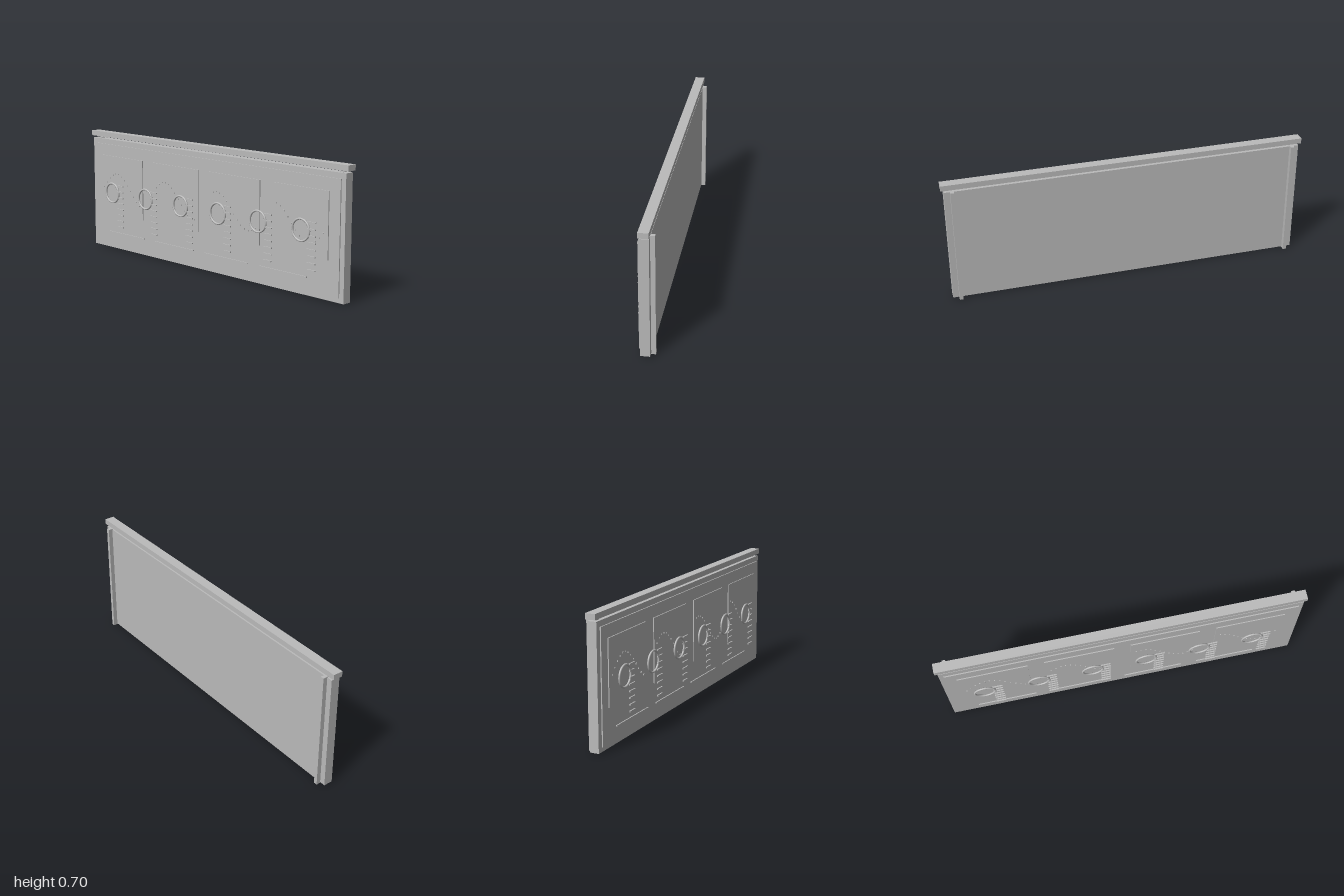
import * as THREE from 'three';

export function createModel() {
  const model = new THREE.Group();
  const grey = new THREE.MeshStandardMaterial({ color: 0xbbbbbb });
  grey.name = 'plain grey';

  function add(name, geometry, x, y, z) {
    const mesh = new THREE.Mesh(geometry, grey);
    mesh.name = name;
    mesh.position.set(x, y, z);
    model.add(mesh);
  }
  const box = (name, w, h, d, x, y, z) =>
    add(name, new THREE.BoxGeometry(w, h, d), x, y, z);

  // Board, raised screen plate and top rail
  box('board', 1.97, 0.656, 0.05, 0, 0.333, -0.007);
  box('screenPlate', 1.92, 0.6, 0.006, 0, 0.332, 0.0245);
  box('topRail', 2, 0.03, 0.054, 0, 0.687, -0.007);

  // Back posts
  for (const side of [-1, 1]) box('backPost', 0.02, 0.665, 0.058, side * 0.943, 0.3325, -0.027);

  // Four chart panels, each with a wave of dots, and a bar below
  for (let g = 0; g < 4; g++) {
    const cx = -0.71 + g * 0.47;
    box('chartPanel', 0.38, 0.35, 0.006, cx, 0.39, 0.03);
    for (let i = 0; i < 13; i++) {
      const y = 0.373 + 0.09 * Math.sin(i * 0.35 + g * 0.6);
      box('waveDot', 0.007, 0.007, 0.006, cx - 0.16 + i * 0.0267, y, 0.034);
    }
    box('captionBar', 0.33, 0.006, 0.006, -0.67 + g * 0.42, 0.105, 0.034);
  }

  // Six dial rings, each with a ladder of short ticks
  for (let d = 0; d < 6; d++) {
    const x = -0.775 + d * 0.3;
    add('dialRing', new THREE.TorusGeometry(0.057, 0.0055, 10, 40), x, 0.348, 0.051);
    for (let i = 0; i < 8; i++) box('tick', 0.055, 0.007, 0.007, x + 0.072, 0.15 + i * 0.035, 0.051);
  }

  return model;
}
